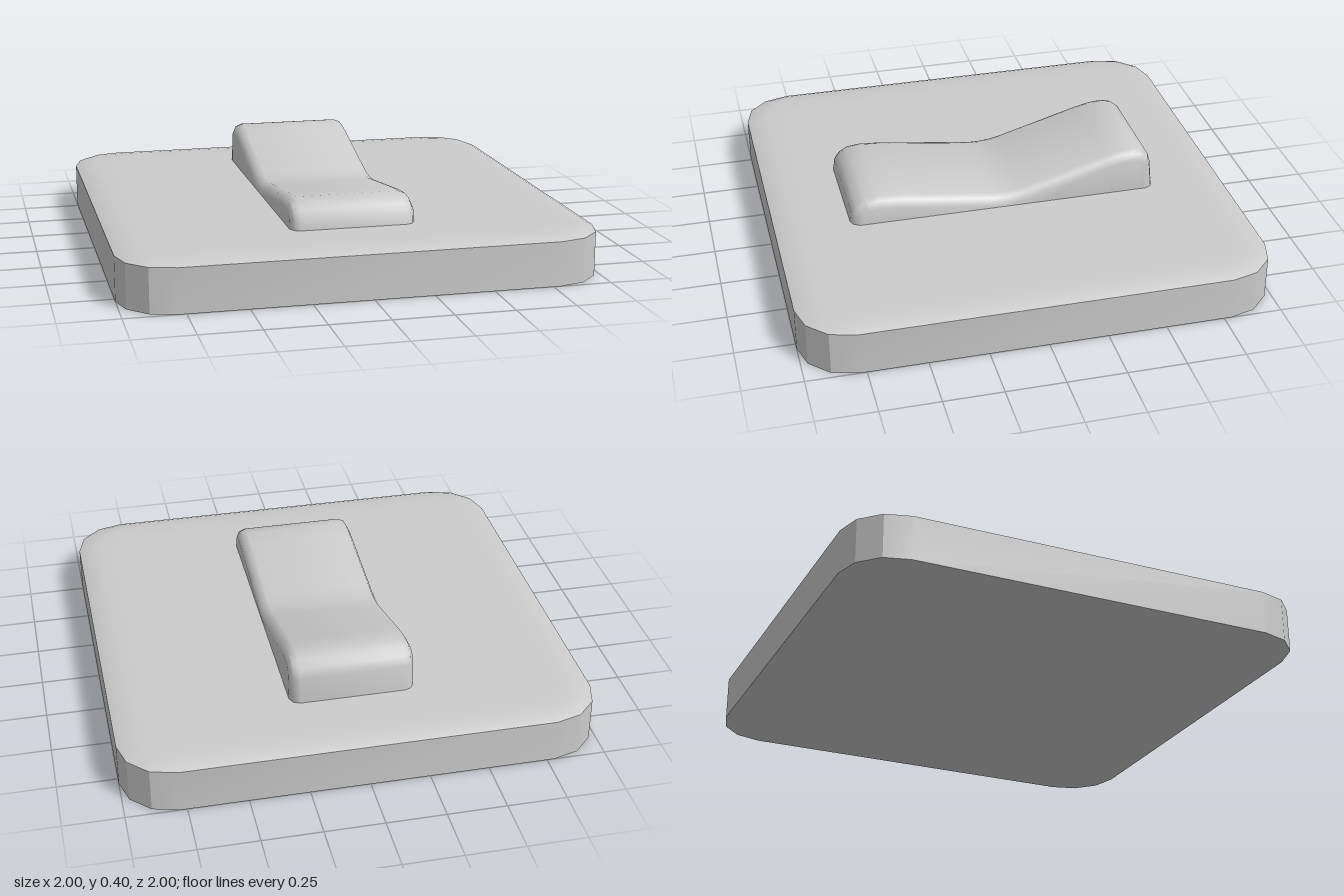
import * as THREE from 'three';
import { toCreasedNormals } from 'three/addons/utils/BufferGeometryUtils.js';

const material = new THREE.MeshStandardMaterial({ color: 0xcccccc });

// Skin a list of equally long rows of Vector3, skipping collapsed triangles
function loft(rows, crease) {
  const pos = [];
  const tri = (a, b, c) => {
    if (a.distanceTo(b) < 1e-6 || b.distanceTo(c) < 1e-6 || c.distanceTo(a) < 1e-6) return;
    for (const p of [a, b, c]) pos.push(p.x, p.y, p.z);
  };
  for (let j = 0; j < rows.length - 1; j++) {
    for (let i = 0; i < rows[j].length - 1; i++) {
      const a = rows[j][i], b = rows[j][i + 1], c = rows[j + 1][i + 1], d = rows[j + 1][i];
      tri(a, b, c);
      tri(a, c, d);
    }
  }
  const g = new THREE.BufferGeometry();
  g.setAttribute('position', new THREE.Float32BufferAttribute(pos, 3));
  return toCreasedNormals(g, crease);
}

// Rounded square ring with three facets per corner
function squareRing(inset, y) {
  const radius = 0.22 - inset, centre = 0.78, ring = [];
  for (let q = 0; q < 4; q++) {
    const mid = (q + 0.5) * Math.PI / 2;
    const cx = Math.sign(Math.cos(mid)) * centre, cz = -Math.sign(Math.sin(mid)) * centre;
    for (let k = 0; k <= 3; k++) {
      const a = (q + k / 3) * Math.PI / 2;
      ring.push(new THREE.Vector3(cx + radius * Math.cos(a), y, cz - radius * Math.sin(a)));
    }
  }
  ring.push(ring[0].clone());
  return ring;
}

function createPlate() {
  const rings = [[0, 0], [0, 0.188], [0.03, 0.2], [0.09, 0.207], [0.18, 0.21]]
    .map(([inset, y]) => squareRing(inset, y));
  const cap = y => rings[0].map(() => new THREE.Vector3(0, y, 0));
  return loft([cap(0), ...rings, cap(0.21)], 0.4);
}

function createRocker() {
  // Side profile [z, y], from the low front end to the high back end
  const profile = [
    [0.68, 0.19], [0.672, 0.262], [0.65, 0.292], [0.61, 0.315], [0.55, 0.322], [0.46, 0.315],
    [0.1, 0.267], [0.05, 0.26], [0, 0.259], [-0.05, 0.264], [-0.1, 0.275],
    [-0.46, 0.379], [-0.52, 0.393], [-0.58, 0.398], [-0.62, 0.39], [-0.655, 0.362],
    [-0.667, 0.32], [-0.68, 0.19],
  ].map(([z, y]) => new THREE.Vector2(z, y));

  // Profile pulled inwards along its normals, placed at x
  const section = (x, inset) => profile.map((p, i) => {
    const before = profile[Math.max(i - 1, 0)], after = profile[Math.min(i + 1, profile.length - 1)];
    const t = after.clone().sub(before).normalize();
    return new THREE.Vector3(x, Math.max(p.y + t.x * inset, 0.19), p.x - t.y * inset);
  });

  // Rounded shoulders on both sides, closed by flat walls down to the plate
  const half = [[0.265, 0.04], [0.25, 0.011], [0.222, 0]];
  const rows = [
    ...half.map(([x, inset]) => section(x, inset)),
    ...half.slice().reverse().map(([x, inset]) => section(-x, inset)),
  ];
  const foot = row => row.map(p => new THREE.Vector3(p.x, 0.19, p.z));
  return loft([foot(rows[0]), ...rows, foot(rows[rows.length - 1])], 0.75);
}

export function createModel() {
  const group = new THREE.Group();
  group.name = 'lightSwitch';
  const add = (name, geometry) => {
    const mesh = new THREE.Mesh(geometry, material);
    mesh.name = name;
    group.add(mesh);
  };
  add('wallPlate', createPlate());
  add('rocker', createRocker());
  return group;
}
